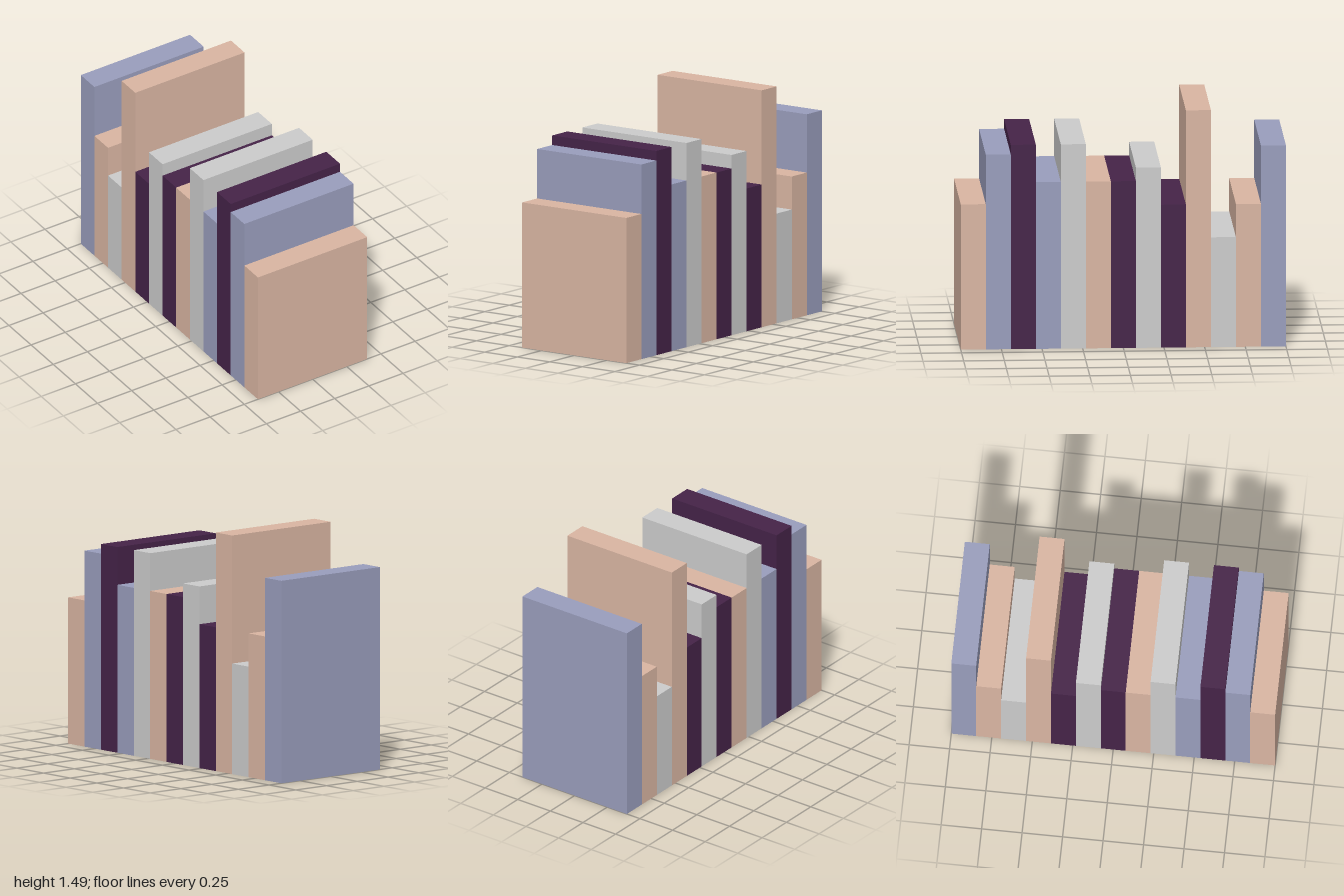
import * as THREE from 'three';
import { mergeGeometries } from 'three/addons/utils/BufferGeometryUtils.js';

const tan = 0xd9b5a2, blue = 0x999dbc, plum = 0x452348, grey = 0xcccccc;

// Slabs from the front (+z) to the back: [height, color]
const SLABS = [
  [0.91, tan], [1.22, blue], [1.28, plum], [1.045, blue], [1.28, grey],
  [1.045, tan], [1.045, plum], [1.13, grey], [0.895, plum], [1.485, tan],
  [0.688, grey], [0.895, tan], [1.26, blue],
];
const WIDTH = 0.8, LENGTH = 2;
const THICKNESS = LENGTH / SLABS.length;

// Upright panel facing +z (or -z), from height y0 to y1
function riser(y0, y1, facing) {
  return new THREE.PlaneGeometry(WIDTH, y1 - y0)
    .rotateY(facing > 0 ? 0 : Math.PI)
    .translate(0, (y0 + y1) / 2, facing * THICKNESS / 2);
}

// Hollow slab without a floor; front and back only where it rises above its neighbours
function slabShell(height, frontHeight, backHeight) {
  const panels = [
    new THREE.PlaneGeometry(WIDTH, THICKNESS).rotateX(-Math.PI / 2).translate(0, height, 0),
  ];
  for (const side of [-1, 1]) {
    panels.push(
      new THREE.PlaneGeometry(THICKNESS, height)
        .rotateY(side * Math.PI / 2)
        .translate(side * WIDTH / 2, height / 2, 0)
    );
  }
  if (height > frontHeight) panels.push(riser(frontHeight, height, 1));
  if (height > backHeight) panels.push(riser(backHeight, height, -1));
  return mergeGeometries(panels);
}

export function createModel() {
  const group = new THREE.Group();
  group.name = 'slabRow';

  // One shared material per color, two-sided because the shell is open below
  const materials = new Map(
    [tan, blue, plum, grey].map((color) => [
      color, new THREE.MeshStandardMaterial({ color, side: THREE.DoubleSide }),
    ])
  );

  const heightAt = (i) => (SLABS[i] ? SLABS[i][0] : 0);
  SLABS.forEach(([height, color], i) => {
    const slab = new THREE.Mesh(
      slabShell(height, heightAt(i - 1), heightAt(i + 1)),
      materials.get(color)
    );
    slab.name = `slab${i + 1}`;
    slab.position.z = LENGTH / 2 - (i + 0.5) * THICKNESS;
    group.add(slab);
  });

  return group;
}
